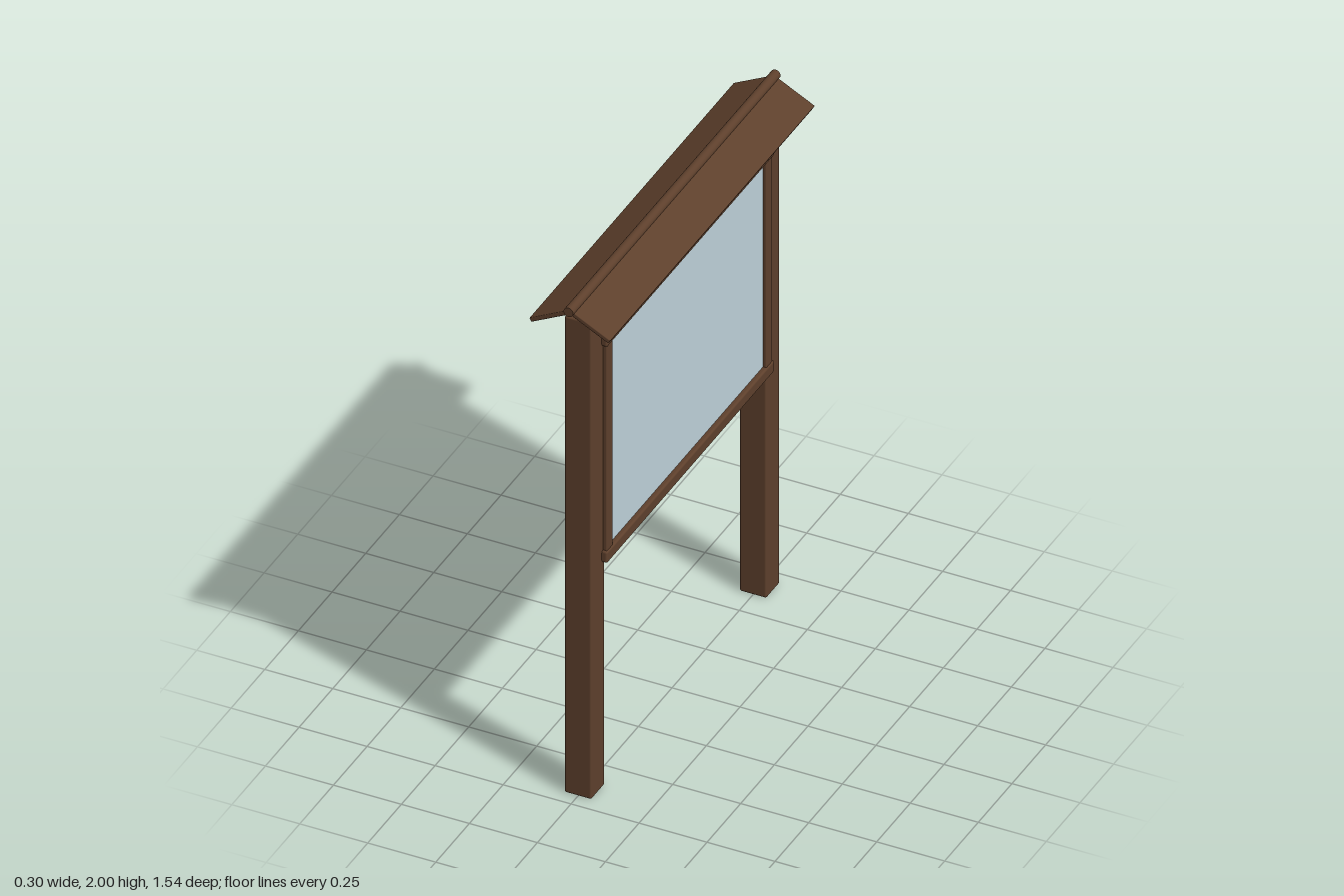
import * as THREE from 'three';
import { RoundedBoxGeometry } from 'three/addons/geometries/RoundedBoxGeometry.js';

export function createModel() {
  const model = new THREE.Group();
  model.name = 'noticeBoard';

  const wood = new THREE.MeshStandardMaterial({ color: 0x5e402c });
  wood.name = 'dark wood';
  const backing = new THREE.MeshStandardMaterial({ color: 0x86643f });
  backing.name = 'backing board';
  const glass = new THREE.MeshStandardMaterial({ color: 0xbfd2da });
  glass.name = 'pale glass';

  const add = (name, geometry, material, x, y, z) => {
    const mesh = new THREE.Mesh(geometry, material);
    mesh.name = name;
    mesh.position.set(x, y, z);
    model.add(mesh);
    return mesh;
  };
  const beam = (w, h, d, bevel) => new RoundedBoxGeometry(w, h, d, 2, bevel);

  // Two upright posts and the side stiles of the frame
  for (const side of [1, -1]) {
    const end = side > 0 ? 'front' : 'back';
    add(end + 'Post', beam(0.1, 1.91, 0.1, 0.008), wood, 0, 0.955, side * 0.65);
    add(end + 'Stile', beam(0.03, 0.84, 0.046, 0.004), wood, 0.05, 1.36, side * 0.592);
  }

  // Display panel between the posts, with glass on the +x face
  add('backPanel', new THREE.BoxGeometry(0.06, 0.88, 1.2), backing, 0.015, 1.36, 0);
  add('glassPane', new THREE.BoxGeometry(0.008, 0.83, 1.15), glass, 0.049, 1.36, 0);

  // Top and bottom rails of the frame
  for (const [name, y] of [['bottomRail', 0.927], ['topRail', 1.793]]) {
    add(name, beam(0.04, 0.046, 1.246, 0.008), wood, 0.05, y, 0);
  }

  // Pitched roof boards sloping down from the ridge
  const tilt = Math.atan2(0.075, 0.145);
  for (const side of [1, -1]) {
    const board = add(side > 0 ? 'leftRoofBoard' : 'rightRoofBoard',
      beam(0.166, 0.016, 1.52, 0.003), wood, side * 0.072, 1.939, 0);
    board.rotation.z = -side * tilt;
  }

  // Round ridge pole
  const ridge = add('ridgePole', new THREE.CylinderGeometry(0.018, 0.018, 1.54, 16), wood, 0, 1.982, 0);
  ridge.rotation.x = Math.PI / 2;

  return model;
}
